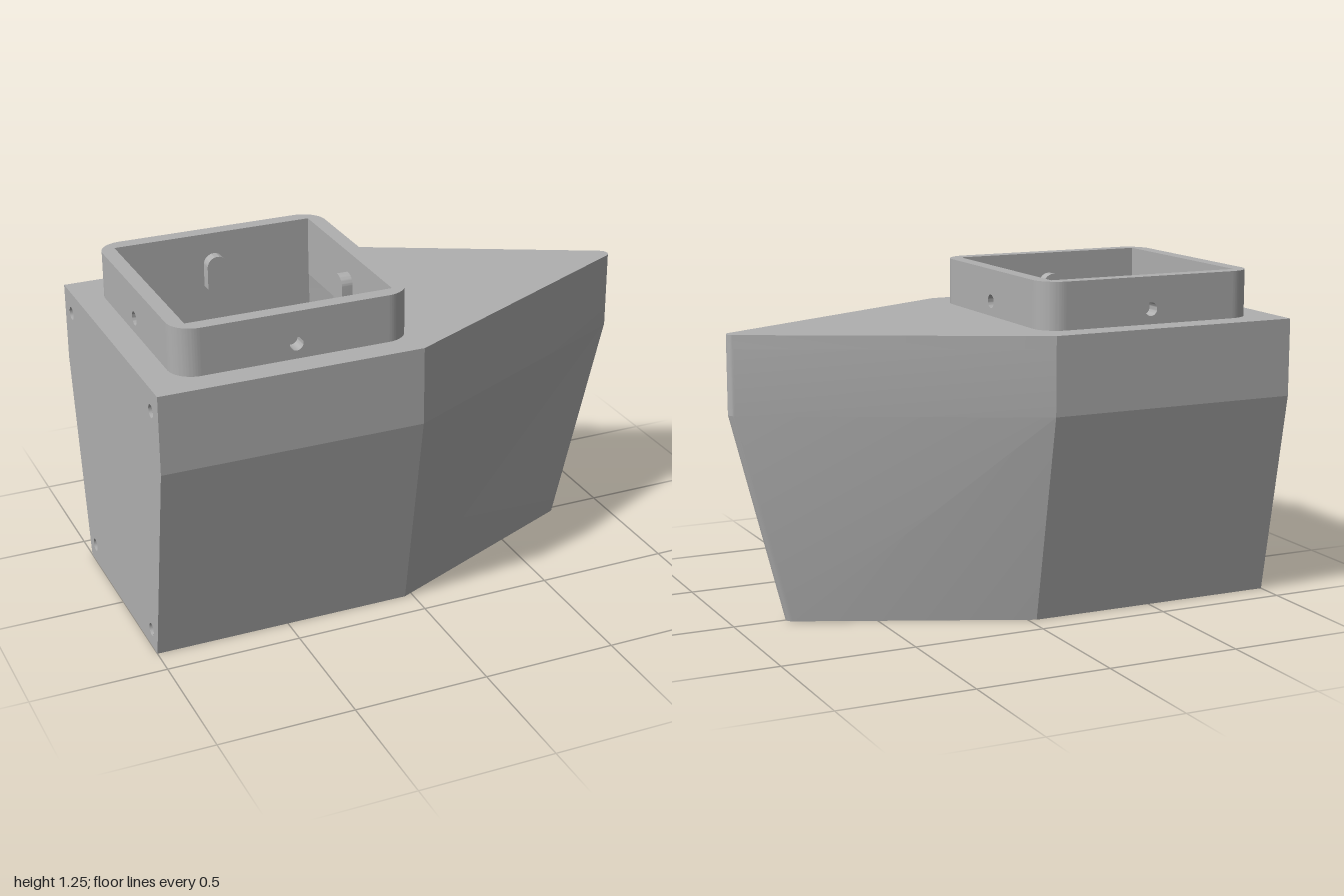
import * as THREE from 'three';
import { toCreasedNormals } from 'three/addons/utils/BufferGeometryUtils.js';

const TOP = 1.07, DECK = 1.02, BREAK = 0.78, FLOOR = 0.05;

// Plan outline at height y: square stern, straight sides, rounded pointed nose
function outline(y, inset = 0) {
  const k = Math.min(y / BREAK, 1);
  const w = 0.39 + 0.143 * k - inset;
  const tip = 0.8 + 0.2 * k - inset * 2.2;
  const bend = -0.03 - inset * 0.2, back = -1 + inset, r = 0.03;
  const d = tip - r - bend;
  const slope = Math.atan2(w, d) - Math.asin(r / Math.hypot(d, w));
  const phi = Math.PI / 2 - slope;
  const pts = [[back, w], [bend, w]];
  for (let i = 0; i <= 16; i++) {
    const a = phi * (1 - i / 8);
    pts.push([tip - r + r * Math.cos(a), r * Math.sin(a)]);
  }
  pts.push([bend, -w], [back, -w]);
  return pts;
}

// Wall surface between outlines at successive heights
function loft(heights, inset, inward) {
  const pos = [];
  const rings = heights.map((y) => outline(y, inset).map(([x, z]) => [x, y, z]));
  for (let j = 0; j < rings.length - 1; j++) {
    const lo = rings[j], hi = rings[j + 1], n = lo.length;
    for (let i = 0; i < (inward ? n : n - 1); i++) {
      const m = (i + 1) % n;
      const [a, b, c, d] = [lo[i], lo[m], hi[m], hi[i]];
      pos.push(...(inward ? [a, c, b, a, d, c] : [a, b, c, a, c, d]).flat());
    }
  }
  const g = new THREE.BufferGeometry();
  g.setAttribute('position', new THREE.Float32BufferAttribute(pos, 3));
  return toCreasedNormals(g, 0.16);
}

function polygon(pts) {
  return new THREE.Shape(pts.map(([x, y]) => new THREE.Vector2(x, y)));
}

function circleHole(shape, x, y, r) {
  shape.holes.push(new THREE.Path().absarc(x, y, r, 0, Math.PI * 2, true));
}

function extrude(shape, depth) {
  const g = new THREE.ExtrudeGeometry(shape, { depth, bevelEnabled: false, curveSegments: 16 });
  return toCreasedNormals(g, 0.45);
}

export function createModel() {
  const model = new THREE.Group();
  const grey = new THREE.MeshStandardMaterial({ color: 0xb0b0b0, side: THREE.DoubleSide });
  grey.name = 'grey plastic';
  const add = (name, geometry, x = 0, y = 0, z = 0, parent = model) => {
    const mesh = new THREE.Mesh(geometry, grey);
    mesh.name = name;
    mesh.position.set(x, y, z);
    parent.add(mesh);
    return mesh;
  };

  // Hollow hull
  add('hullOuterWall', loft([0, BREAK, DECK], 0, false));
  add('hullInnerWall', loft([FLOOR, BREAK, DECK], 0.045, true));
  add('floor', new THREE.ShapeGeometry(polygon(outline(FLOOR, 0.045))).rotateX(-Math.PI / 2), 0, FLOOR);

  // Underside with four blind screw holes, each under a round boss
  const base = polygon(outline(0));
  for (const x of [-0.425, -0.08]) {
    for (const z of [-0.077, 0.077]) {
      circleHole(base, x, z, 0.022);
      add('baseScrewHole', new THREE.CylinderGeometry(0.022, 0.022, 0.1, 24, 1, true), x, 0.05, z);
      add('screwBoss', new THREE.CylinderGeometry(0.05, 0.05, 0.06, 32), x, FLOOR + 0.08, z);
      add('screwBossLower', new THREE.CylinderGeometry(0.05, 0.05, 0.05, 32, 1, true), x, FLOOR + 0.025, z);
    }
  }
  add('underside', new THREE.ShapeGeometry(base, 16).rotateX(Math.PI / 2));

  // Flat stern with a blind hole near each corner
  const stern = polygon([[-0.39, 0], [0.39, 0], [0.533, BREAK], [0.533, DECK], [-0.533, DECK], [-0.533, BREAK]]);
  for (const s of [-1, 1]) {
    for (const [z, y] of [[0.455, 0.985], [0.335, 0.07]]) {
      circleHole(stern, s * z, y, 0.024);
      const bore = new THREE.CylinderGeometry(0.024, 0.024, 0.045, 24, 1, true).rotateZ(Math.PI / 2);
      add('sternHole', bore, -0.9775, y, s * z);
    }
  }
  add('stern', new THREE.ShapeGeometry(stern, 16).rotateY(-Math.PI / 2), -1);

  // Deck slab with a square opening
  const cx = -0.465, half = 0.435, wall = 0.055, radius = 0.09;
  const inner = half - wall, straight = half - radius;
  const deck = polygon(outline(TOP));
  deck.holes.push(polygon([[cx - inner, -inner], [cx - inner, inner], [cx + inner, inner], [cx + inner, -inner]]));
  add('deck', extrude(deck, TOP - DECK).rotateX(-Math.PI / 2), 0, DECK);

  // Collar: four walls with a pin hole and an arched tab, joined by rounded corners
  const height = 0.175, pinY = 0.055;
  const panel = polygon([[-straight, 0], [straight, 0], [straight, height], [-straight, height]]);
  circleHole(panel, 0, pinY, 0.025);
  const panelGeometry = extrude(panel, wall);

  const tab = new THREE.Shape();
  tab.moveTo(-0.04, -0.03);
  tab.lineTo(0.04, -0.03);
  tab.lineTo(0.04, pinY);
  tab.absarc(0, pinY, 0.04, 0, Math.PI, false);
  const tabGeometry = extrude(tab, 0.042);

  const c = radius - wall;
  const corner = new THREE.Shape();
  corner.moveTo(radius, 0);
  corner.absarc(0, 0, radius, 0, Math.PI / 2, false);
  corner.lineTo(0, c);
  corner.lineTo(c, c);
  corner.lineTo(c, 0);
  const cornerGeometry = extrude(corner, height).rotateX(-Math.PI / 2);

  for (let k = 0; k < 4; k++) {
    const side = new THREE.Group();
    side.name = 'collarSide';
    side.position.set(cx, TOP, 0);
    side.rotation.y = k * Math.PI / 2;
    add('collarWall', panelGeometry, 0, 0, inner, side);
    add('collarTab', tabGeometry, 0, 0, inner - 0.042, side);
    add('collarCorner', cornerGeometry, straight, 0, -straight, side);
    model.add(side);
  }
  return model;
}
